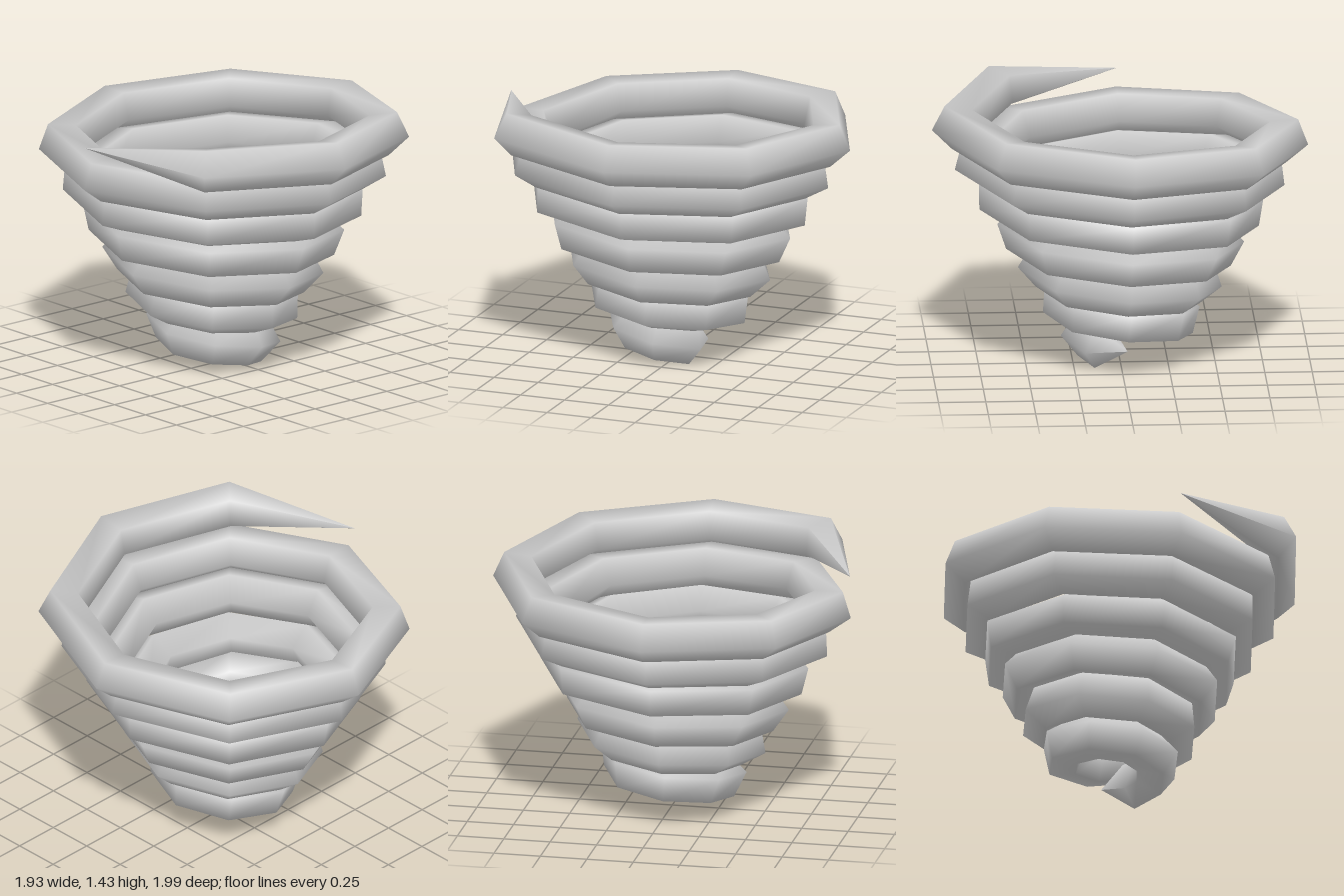
import * as THREE from 'three';

// Conical coil: a five-sided tube on a widening, rising spiral, eight steps per turn
const STEPS = 52, SIDES = 5, TUBE = 0.125;
const STEP_ANGLE = Math.PI / 4;
const RADIUS_START = 0.19, RADIUS_STEP = 0.0142;
const HEIGHT_START = 0.1, HEIGHT_STEP = 0.0239;
const AXIS_X = -0.035, AXIS_Z = -0.03;

const radiusAt = (k) => RADIUS_START + RADIUS_STEP * k;

// Centre line of the tube; starts at the +x side and runs towards the front
function spiralPoint(k) {
  const a = k * STEP_ANGLE, r = radiusAt(k);
  return new THREE.Vector3(AXIS_X + r * Math.cos(a), HEIGHT_START + HEIGHT_STEP * k, AXIS_Z + r * Math.sin(a));
}

// The section turns slowly about the centre line as the spiral climbs
function sectionTwists() {
  const twist = [0];
  for (let k = 0; k < STEPS; k++) {
    const climb = Math.atan(HEIGHT_STEP / (STEP_ANGLE * radiusAt(k + 0.5)));
    twist.push(twist[k] + STEP_ANGLE * Math.sin(climb));
  }
  const offset = THREE.MathUtils.degToRad(60) - twist[48];
  return twist.map((t) => t + offset);
}

function coilGeometry() {
  const positions = [], indices = [];
  const twist = sectionTwists();
  for (let k = 0; k <= STEPS; k++) {
    const centre = spiralPoint(k);
    const tangent = spiralPoint(k + 0.01).sub(spiralPoint(k - 0.01)).normalize();
    const a = k * STEP_ANGLE;
    const outward = new THREE.Vector3(Math.cos(a), 0, Math.sin(a));
    outward.addScaledVector(tangent, -outward.dot(tangent)).normalize();
    const up = new THREE.Vector3().crossVectors(tangent, outward);
    // Both ends of the tube close to a point
    const size = k === 0 || k === STEPS ? 0.0005 : TUBE;
    for (let i = 0; i < SIDES; i++) {
      const phi = twist[k] + (i / SIDES) * Math.PI * 2;
      const p = centre.clone()
        .addScaledVector(outward, size * Math.cos(phi))
        .addScaledVector(up, size * Math.sin(phi));
      positions.push(p.x, p.y, p.z);
      if (k < STEPS) {
        const p0 = k * SIDES + i, p1 = k * SIDES + ((i + 1) % SIDES);
        indices.push(p0, p1, p0 + SIDES, p1, p1 + SIDES, p0 + SIDES);
      }
    }
  }
  const geometry = new THREE.BufferGeometry();
  geometry.setAttribute('position', new THREE.Float32BufferAttribute(positions, 3));
  geometry.setIndex(indices);
  geometry.computeVertexNormals();
  return geometry;
}

export function createModel() {
  const group = new THREE.Group();
  group.name = 'conicalCoil';
  const coil = new THREE.Mesh(coilGeometry(), new THREE.MeshStandardMaterial({ color: 0xcccccc }));
  coil.name = 'coilTube';
  group.add(coil);
  return group;
}
